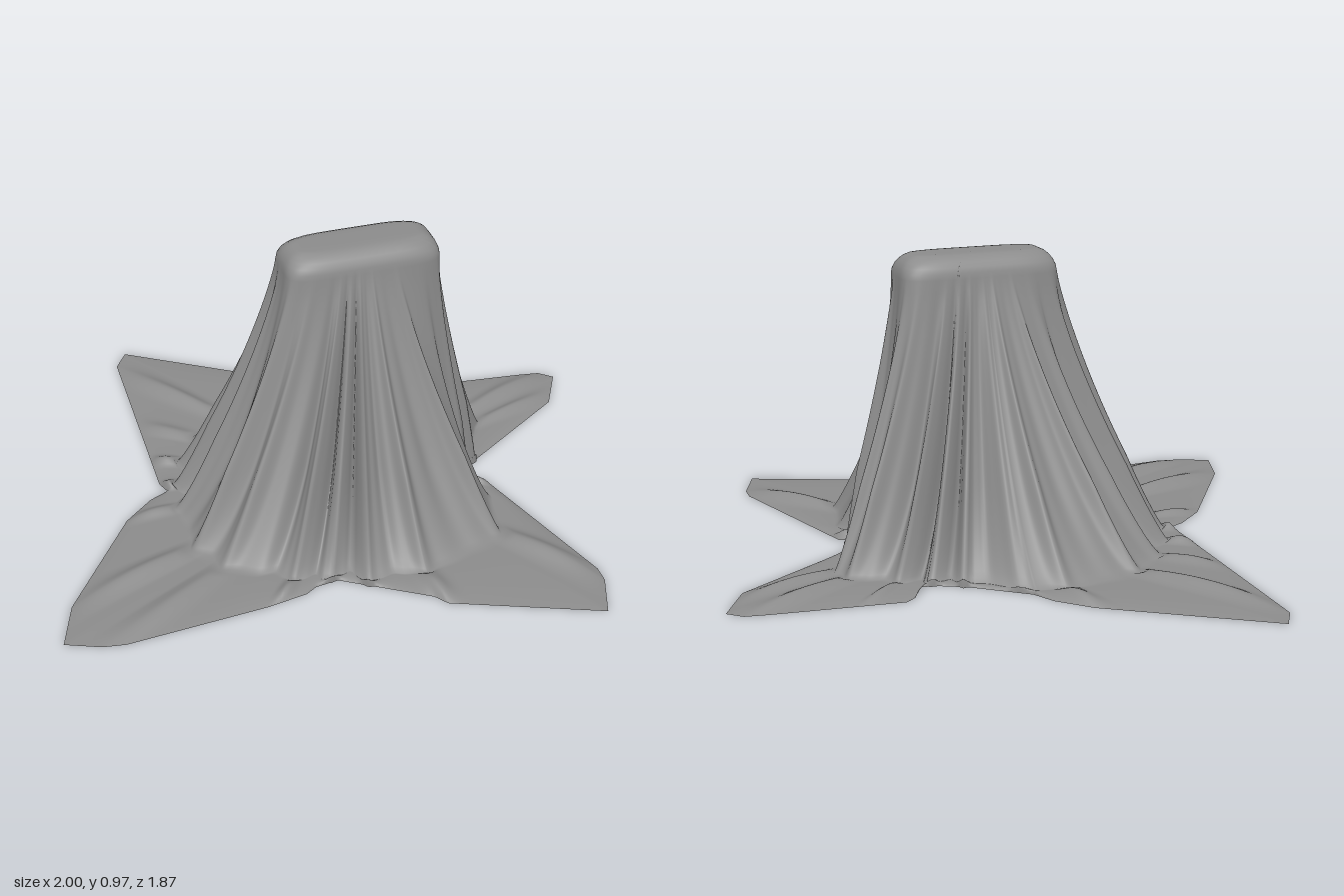
import * as THREE from 'three';

const CX = 0.055, CZ = -0.125;      // middle of the covered box
const TILT = 0.56;                  // turn of the box about the vertical
const RAD = Math.PI / 180;

// Hem of the cloth as x, z pairs, in order of rising angle
const HEM = [
  [-1, -0.67], [-0.43, -0.66], [-0.3, -0.63], [-0.23, -0.59], [-0.02, -0.57], [0.08, -0.58], [0.12, -0.6],
  [0.115, -0.69], [0.13, -0.73], [0.5, -0.91], [0.57, -0.94], [0.63, -0.93], [0.64, -0.76], [0.42, -0.29],
  [0.365, -0.21], [0.49, -0.235], [0.94, 0.15], [0.97, 0.2], [1, 0.35], [0.5, 0.44], [0.45, 0.42],
  [0.13, 0.42], [0.07, 0.47], [0.05, 0.51], [-0.05, 0.6], [-0.43, 0.88], [-0.5, 0.91], [-0.62, 0.93],
  [-0.66, 0.76], [-0.64, 0.3], [-0.6, 0.17], [-0.56, 0.11], [-0.6, 0.08], [-1, -0.58],
];

// Where the skirt meets the floor: angle in degrees, radius
const FOOT = [
  [-180, 0.62], [-151, 0.6], [-120, 0.54], [-87, 0.46], [-55, 0.55], [-30, 0.42], [-16, 0.34],
  [0, 0.48], [25, 0.57], [60, 0.55], [86, 0.57], [125, 0.66], [160, 0.62], [180, 0.62],
];

// Folds: angle in degrees, width in degrees, push outward
const FOLDS = [
  [-158, 2.5, 0.05], [-145, 5, -0.02], [-132, 3, 0.04], [-118, 3, 0.02], [-108, 4, -0.02],
  [-98, 2, 0.04], [-92, 2, -0.05], [-86, 2, 0.03], [-80, 2, -0.06], [-74, 2, 0.03], [-68, 3, -0.04],
  [-58, 2.5, 0.04], [-50, 2, 0.035], [-38, 4, -0.02], [-27, 2, 0.05], [-22, 2, -0.04], [-11, 2, 0.04], [-4, 3, -0.03],
  [19, 3, 0.05], [34, 6, -0.025], [52, 3, 0.045], [63, 3, -0.03],
  [72, 2, 0.04], [78, 2, -0.06], [84, 2, 0.03], [90, 2, -0.06], [96, 2, 0.04], [103, 2.5, -0.05],
  [117, 2.5, 0.04], [123, 2, -0.02], [129, 2.5, 0.05], [140, 4, -0.03], [149, 2, 0.03],
  [155, 2, -0.05], [161, 2, 0.04], [167, 2, -0.06], [173, 2, 0.04], [180, 2.5, -0.05], [187, 2.5, 0.03],
];

// Radius of the rounded rectangle on top, drawn in by an inset
function boxRadius(angle, inset) {
  const c = Math.abs(Math.cos(angle + TILT)) / (0.26 - inset);
  const s = Math.abs(Math.sin(angle + TILT)) / (0.115 - inset);
  return Math.pow(c ** 5 + s ** 5, -0.2);
}

function footRadius(deg) {
  let i = 0;
  while (i < FOOT.length - 2 && FOOT[i + 1][0] < deg) i++;
  const [a, ra] = FOOT[i], [b, rb] = FOOT[i + 1];
  return THREE.MathUtils.lerp(ra, rb, THREE.MathUtils.smoothstep(deg, a, b));
}

function foldAt(deg) {
  let sum = 0;
  for (const [at, width, push] of FOLDS) {
    const d = (((deg - at + 180) % 360) + 360) % 360 - 180;
    sum += push * Math.exp(-((d / width) ** 2));
  }
  return sum;
}

// Hem points at an even spacing
function sampleHem(step) {
  const points = [];
  HEM.forEach(([x, z], i) => {
    const [nx, nz] = HEM[(i + 1) % HEM.length];
    const n = Math.max(1, Math.round(Math.hypot(nx - x, nz - z) / step));
    for (let k = 0; k < n; k++) points.push([x + (nx - x) * k / n - CX, z + (nz - z) * k / n - CZ]);
  });
  return points;
}

// One line of the cloth, from the middle of the top down and out to the hem
function clothLine([hx, hz]) {
  const angle = Math.atan2(hz, hx), deg = angle / RAD;
  const hem = Math.hypot(hx, hz);
  const edge = boxRadius(angle, 0), flat = boxRadius(angle, 0.065);
  const foot = Math.max(edge + 0.01, Math.min(footRadius(deg), hem * 0.97));
  const fold = foldAt(deg);
  const line = [[0, 0.97], [flat * 0.5, 0.97]];
  // rounded edge of the top
  for (let i = 0; i <= 6; i++) {
    const a = i / 6 * Math.PI / 2;
    line.push([flat + (edge - flat) * Math.sin(a), 0.9 + 0.07 * Math.cos(a)]);
  }
  // hanging skirt, with folds that deepen downward
  for (let i = 1; i <= 30; i++) {
    const t = i / 30;
    const r = edge + (foot - edge) * t ** 1.2 + fold * Math.min(1, t * 1.6) * (1 - 0.5 * t ** 6);
    line.push([r, 0.01 + 0.89 * (1 - t) ** 1.25]);
  }
  // part lying on the floor, with low wrinkles running on from the folds
  const start = line[line.length - 1][0];
  const end = Math.max(hem, start + 0.005);
  for (let i = 1; i <= 14; i++) {
    const s = i / 14;
    const wrinkle = Math.max(0, fold) * 0.5 * Math.sin(Math.PI * Math.min(1, s * 0.85 + 0.15));
    line.push([start + (end - start) * s, 0.01 * (1 - s ** 3) + wrinkle]);
  }
  return line.map(([r, y]) => [CX + r * Math.cos(angle), y, CZ + r * Math.sin(angle)]);
}

export function createModel() {
  const group = new THREE.Group();
  group.name = 'drapedCloth';
  const grey = new THREE.MeshStandardMaterial({ color: 0x8c8c8c, side: THREE.DoubleSide });
  grey.name = 'grey cloth';

  const lines = sampleHem(0.012).map(clothLine);
  const rows = lines[0].length, cols = lines.length;
  const index = [];
  for (let j = 0; j < cols; j++) {
    const here = j * rows, next = ((j + 1) % cols) * rows;
    for (let i = 0; i < rows - 1; i++) {
      if (i > 0) index.push(here + i, next + i, here + i + 1);
      index.push(next + i, next + i + 1, here + i + 1);
    }
  }
  const geometry = new THREE.BufferGeometry();
  geometry.setAttribute('position', new THREE.Float32BufferAttribute(lines.flat(2), 3));
  geometry.setIndex(index);
  geometry.computeVertexNormals();

  const cloth = new THREE.Mesh(geometry, grey);
  cloth.name = 'cloth';
  group.add(cloth);
  return group;
}
